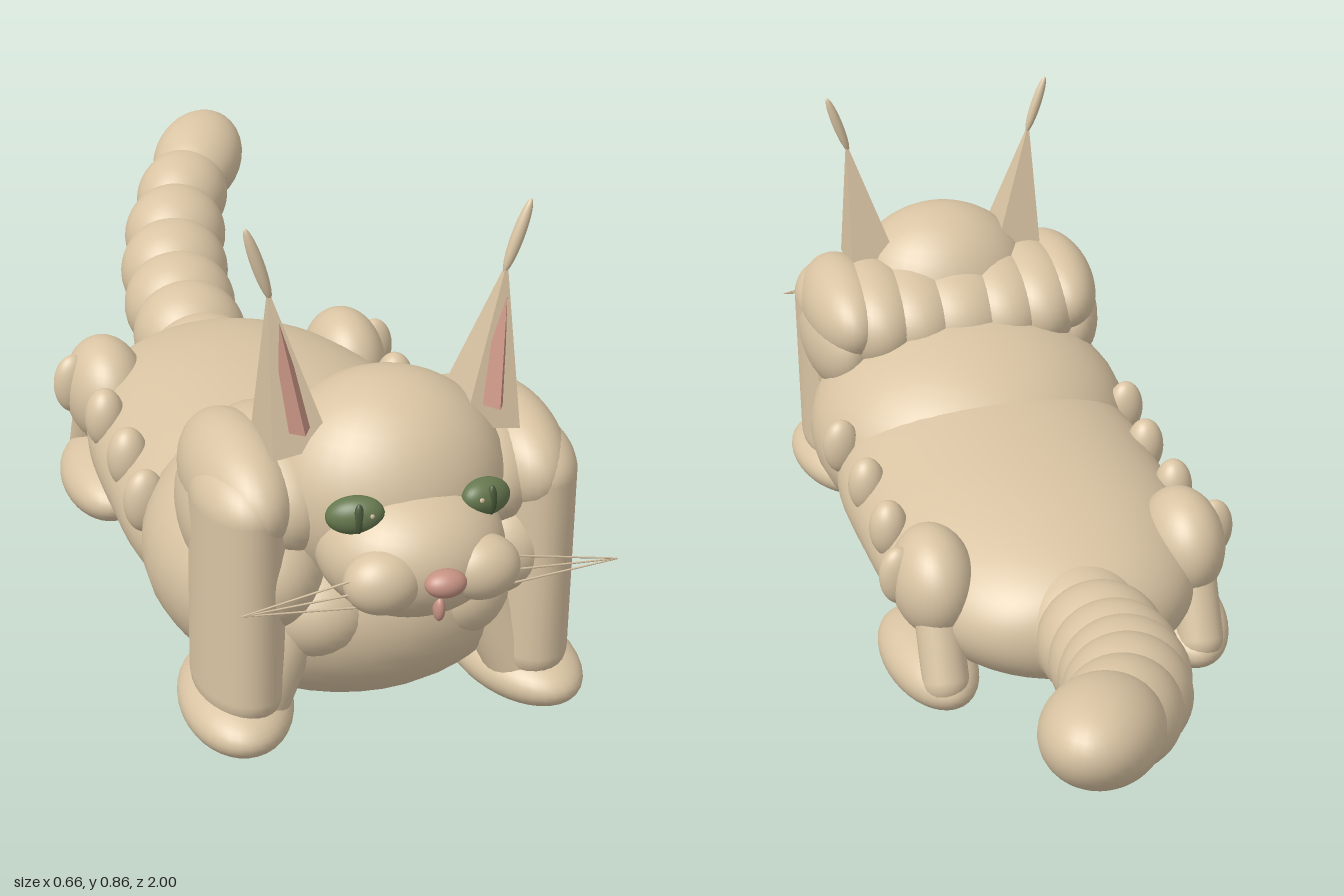
import * as THREE from 'three';

const mat = (name, color, extra = {}) => {
  const m = new THREE.MeshStandardMaterial({ color, ...extra });
  m.name = name;
  return m;
};

export function createModel() {
  const root = new THREE.Group();
  const fur = mat('sand fur', 0xd9c4a3);
  const furFlat = mat('sand fur', 0xd9c4a3, { flatShading: true });
  const pink = mat('pink skin', 0xc69283);
  const pinkFlat = mat('pink skin', 0xc69283, { flatShading: true });
  const green = mat('green eye', 0x66794f);
  const dark = mat('dark pupil', 0x4a5a3a);

  const ball = new THREE.SphereGeometry(1, 36, 24);
  const add = (name, geo, material, pos = [0, 0, 0]) => {
    const m = new THREE.Mesh(geo, material);
    m.name = name;
    m.position.set(...pos);
    root.add(m);
    return m;
  };
  const blob = (name, pos, size, material = fur) => {
    const m = add(name, ball, material, pos);
    m.scale.set(...size);
    return m;
  };
  // Places a y-aligned mesh between two points
  const align = (m, a, b) => {
    const p = new THREE.Vector3(...a), q = new THREE.Vector3(...b);
    m.position.copy(p).add(q).multiplyScalar(0.5);
    m.quaternion.setFromUnitVectors(new THREE.Vector3(0, 1, 0), q.sub(p).normalize());
    return m;
  };
  const dist = (a, b) => Math.hypot(a[0] - b[0], a[1] - b[1], a[2] - b[2]);

  // Torso: lathe along z, flattened in height
  const profile = new THREE.SplineCurve([
    [0, -0.33], [0.1, -0.315], [0.18, -0.27], [0.245, -0.18], [0.29, -0.04],
    [0.306, 0.15], [0.3, 0.4], [0.2, 0.58], [0, 0.65],
  ].map(([r, z]) => new THREE.Vector2(r, z))).getPoints(40);
  profile.forEach(p => { p.x = Math.max(0, p.x); });
  const torsoGeo = new THREE.LatheGeometry(profile, 48);
  torsoGeo.rotateX(Math.PI / 2).scale(1, 0.565, 1);
  add('torso', torsoGeo, fur, [0, 0.195, 0]);
  blob('chest', [0, 0.22, 0.51], [0.322, 0.22, 0.325]);

  // Tail: overlapping ellipsoids along a rising curve
  const tail = [
    [0, 0.2, -0.26, 0.115], [0, 0.23, -0.37, 0.112], [0.008, 0.255, -0.47, 0.112],
    [0.025, 0.29, -0.57, 0.11], [0.055, 0.33, -0.67, 0.105], [0.1, 0.375, -0.775, 0.095],
  ];
  tail.forEach(([x, y, z, r], i) => {
    const m = blob('tailSegment', [x, y, z], [r, r * 0.95, 0.115]);
    const n = tail[i + 1] || [0.17, 0.425, -0.885];
    m.lookAt(n[0], n[1], n[2]);
  });
  const tip = blob('tailTip', [0.163, 0.422, -0.872], [0.094, 0.082, 0.142]);
  tip.lookAt(0.235, 0.47, -1.0);

  // Head and muzzle
  blob('head', [0, 0.43, 0.72], [0.19, 0.176, 0.17]);
  blob('muzzle', [0, 0.375, 0.83], [0.145, 0.106, 0.135]);
  blob('nose', [0, 0.38, 0.977], [0.032, 0.021, 0.023], pink);
  blob('mouth', [0, 0.327, 0.955], [0.009, 0.02, 0.012], pink);

  // Ruff across the centre
  blob('napeRuff', [0, 0.41, 0.635], [0.13, 0.115, 0.155]);
  blob('throatRuff', [0, 0.25, 0.68], [0.12, 0.095, 0.15]);

  for (const s of [1, -1]) {
    // Ruff lobes around the neck and shoulders
    for (const [x, y, z, rx, ry, rz] of [
      [0.09, 0.415, 0.64, 0.11, 0.11, 0.16], [0.165, 0.42, 0.65, 0.1, 0.11, 0.17],
      [0.222, 0.435, 0.665, 0.08, 0.095, 0.17], [0.235, 0.38, 0.67, 0.073, 0.11, 0.165],
      [0.19, 0.31, 0.68, 0.1, 0.11, 0.15], [0.11, 0.24, 0.69, 0.11, 0.1, 0.14],
    ]) blob('ruffLobe', [s * x, y, z], [rx, ry, rz]);

    // Front leg, paw and toes
    const leg = add('frontLeg', new THREE.CapsuleGeometry(0.07, 0.3, 12, 32), fur, [s * 0.236, 0.28, 0.72]);
    leg.scale.set(1, 1, 1.65);
    const a = [s * 0.15, 0.25, 0.74], b = [s * 0.22, 0.1, 0.76];
    align(add('forearm', new THREE.CapsuleGeometry(0.055, dist(a, b), 10, 24), fur), a, b);
    const paw = blob('frontPaw', [s * 0.235, 0.075, 0.705], [0.09, 0.055, 0.158]);
    paw.rotation.y = s * 0.15;
    for (const x of [0.215, 0.282]) blob('toe', [s * x, 0.085, 0.82], [0.012, 0.014, 0.02]);

    // Hind leg
    blob('thigh', [s * 0.235, 0.25, -0.12], [0.075, 0.1, 0.108]);
    const k = [s * 0.24, 0.21, -0.17], f = [s * 0.24, 0.1, -0.22];
    align(add('hindShank', new THREE.CapsuleGeometry(0.042, dist(k, f), 10, 24), fur), k, f);
    const foot = blob('hindPaw', [s * 0.245, 0.08, -0.108], [0.08, 0.06, 0.158]);
    foot.rotation.y = s * 0.1;

    // Raised side spots
    for (const [x, z, r] of [[0.292, 0.38, 0.029], [0.278, 0.215, 0.035], [0.276, 0.045, 0.037], [0.296, -0.12, 0.026]])
      blob('sideSpot', [s * x, 0.268, z], [0.036, 0.056, r]);

    // Whisker pad and whiskers
    blob('whiskerPad', [s * 0.077, 0.369, 0.925], [0.06, 0.05, 0.048]);
    for (const y of [0.39, 0.362, 0.335]) {
      const w0 = [s * 0.09, y, 0.935], w1 = [s * 0.295, 0.352, 0.935];
      align(add('whisker', new THREE.CylinderGeometry(0.0012, 0.002, dist(w0, w1), 6), fur), w0, w1);
    }

    // Eye with slit pupil and glint
    const eye = blob('eye', [s * 0.103, 0.455, 0.872], [0.044, 0.029, 0.026], green);
    eye.rotation.set(0, s * 0.35, -s * 0.15);
    blob('pupil', [s * 0.104, 0.458, 0.893], [0.008, 0.024, 0.007], dark);
    blob('eyeGlint', [s * 0.086, 0.462, 0.897], [0.005, 0.005, 0.004]);

    // Ear, inner ear and tuft
    const earGeo = new THREE.ConeGeometry(0.066, 0.25, 4);
    earGeo.rotateY(Math.PI / 4).scale(1, 1, 1.2);
    align(add('ear', earGeo, furFlat), [s * 0.152, 0.52, 0.72], [s * 0.189, 0.76, 0.72]);
    const innerGeo = new THREE.ConeGeometry(0.032, 0.17, 3);
    align(add('innerEar', innerGeo, pinkFlat), [s * 0.154, 0.55, 0.765], [s * 0.18, 0.718, 0.746]);
    const tuft = blob('earTuft', [0, 0, 0], [0.01, 0.06, 0.01]);
    align(tuft, [s * 0.185, 0.745, 0.72], [s * 0.224, 0.858, 0.72]);
  }
  return root;
}
